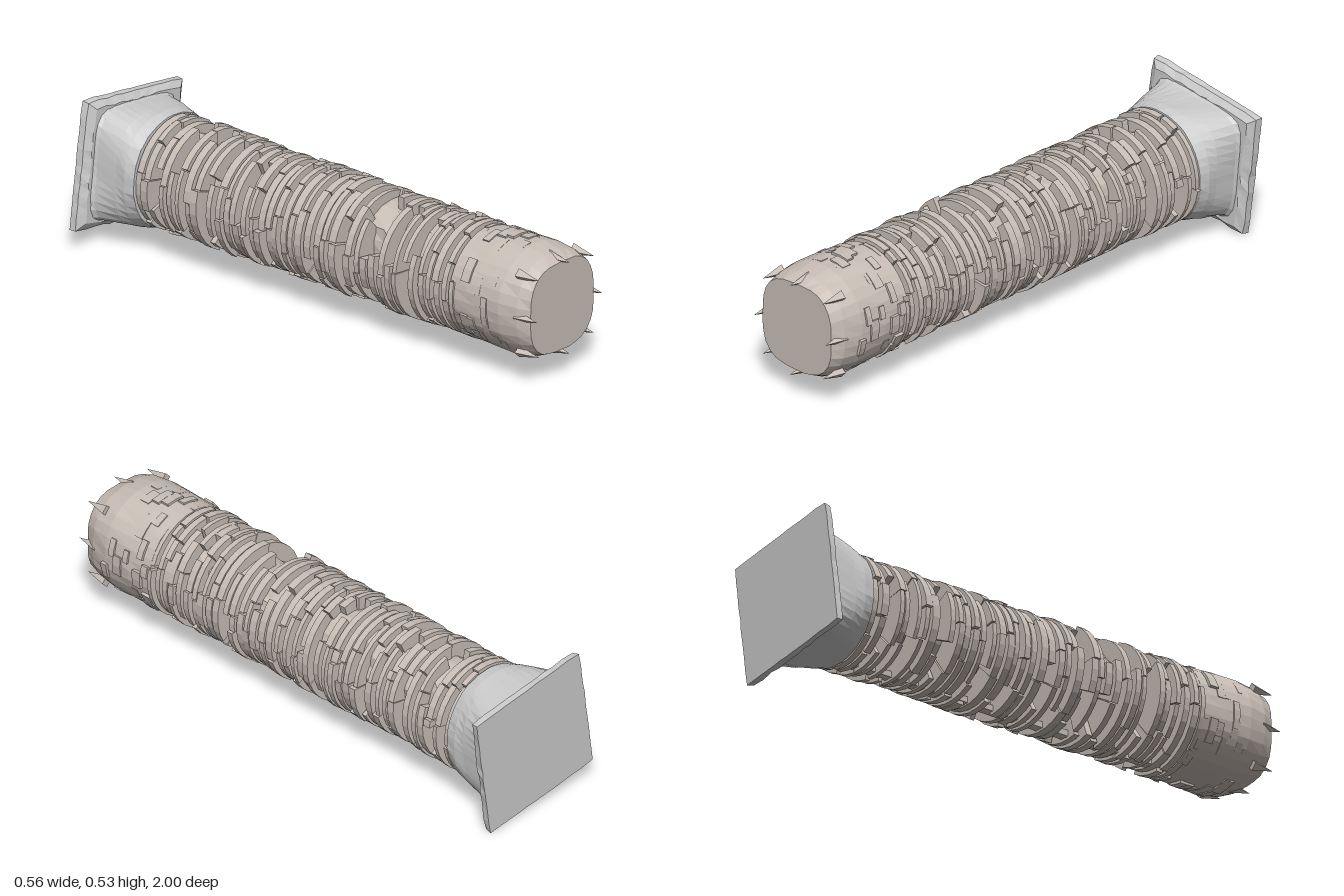
import * as THREE from 'three';
import { mergeGeometries } from 'three/addons/utils/BufferGeometryUtils.js';

const CY = 0.268; // height of the column axis
let seed = 7;
const rnd = (a = 0, b = 1) => {
  seed = (seed * 16807) % 2147483647;
  return a + (b - a) * (seed / 2147483647);
};

// Capped loft along z. Sections: [z, halfWidth, halfHeight, squareness, rotation, jitter]
function loft(sections, n = 48) {
  const pos = [], idx = [];
  for (const [z, hw, hh, p, rot, jit = 0] of sections) {
    for (let i = 0; i < n; i++) {
      const t = (i / n) * Math.PI * 2, c = Math.cos(t), s = Math.sin(t);
      const r = Math.pow(Math.abs(c) ** p + Math.abs(s) ** p, -1 / p) * (1 - rnd(0, jit));
      const x = c * r * hw, y = s * r * hh;
      pos.push(x * Math.cos(rot) - y * Math.sin(rot), x * Math.sin(rot) + y * Math.cos(rot), z);
    }
  }
  const rows = sections.length;
  for (let k = 0; k < rows - 1; k++) {
    for (let i = 0; i < n; i++) {
      const j = (i + 1) % n, a = k * n + i, b = k * n + j;
      idx.push(a, b, b + n, a, b + n, a + n);
    }
  }
  const c0 = rows * n, c1 = c0 + 1;
  pos.push(0, 0, sections[0][0], 0, 0, sections[rows - 1][0]);
  for (let i = 0; i < n; i++) {
    const j = (i + 1) % n, e = (rows - 1) * n;
    idx.push(c0, j, i, c1, e + i, e + j);
  }
  const g = new THREE.BufferGeometry();
  g.setAttribute('position', new THREE.Float32BufferAttribute(pos, 3));
  g.setIndex(idx);
  return g;
}

// Block of stone following the column's curve
function wedge(r0, r1, a0, a1, z, depth) {
  const s = new THREE.Shape();
  const steps = Math.max(2, Math.ceil((a1 - a0) / 0.22));
  for (let i = 0; i <= steps; i++) {
    const a = a0 + ((a1 - a0) * i) / steps;
    s[i ? 'lineTo' : 'moveTo'](r1 * Math.cos(a), r1 * Math.sin(a));
  }
  for (let i = steps; i >= 0; i--) {
    const a = a0 + ((a1 - a0) * i) / steps;
    s.lineTo(r0 * Math.cos(a), r0 * Math.sin(a));
  }
  s.closePath();
  return new THREE.ExtrudeGeometry(s, { depth, bevelEnabled: false }).translate(0, 0, z);
}

export function createModel() {
  const group = new THREE.Group();
  const stone = new THREE.MeshStandardMaterial({ color: 0xc8beb6, flatShading: true });
  const plain = new THREE.MeshStandardMaterial({ color: 0xcccccc, flatShading: true });
  const add = (name, geometry, material) => {
    const m = new THREE.Mesh(geometry, material);
    m.name = name;
    m.position.y = CY;
    group.add(m);
    return m;
  };
  const tilt = -0.144;

  // Square foot plate with chipped, sloping edges
  add('basePlate', loft([
    [-1, 0.252, 0.234, 60, tilt, 0.015],
    [-0.975, 0.252, 0.234, 60, tilt, 0.03],
    [-0.958, 0.225, 0.212, 30, tilt, 0.04],
  ]), plain);

  // Collar turning from rounded square to round
  add('baseCollar', loft([
    [-0.97, 0.215, 0.21, 7, tilt, 0.02],
    [-0.945, 0.203, 0.203, 5, tilt * 0.7, 0.01],
    [-0.86, 0.203, 0.203, 3.2, tilt * 0.4, 0.01],
    [-0.82, 0.207, 0.207, 2.4, 0, 0.01],
    [-0.78, 0.204, 0.204, 2.1, 0, 0.02],
  ]), plain);

  // Worn inner core, set slightly off the axis
  const coreRows = [];
  for (let i = 0; i <= 24; i++) coreRows.push([-0.8 + i * 0.062, 0.14, 0.14, 2.4, 0, 0.12]);
  add('innerCore', loft(coreRows, 20).translate(0.015, 0.025, 0), stone);

  // Courses of broken curved blocks with open joints
  const blocks = [];
  const pitch = 0.036;
  for (let z = -0.775; z < 0.645; z += pitch) {
    let a = rnd(0, 2);
    const end = a + Math.PI * 2;
    while (a < end - 0.1) {
      const next = Math.min(end, a + rnd(0.5, 1.5));
      if (rnd() > 0.13) {
        blocks.push(wedge(0.115, rnd(0.193, 0.208), a, next - 0.02, z + rnd(-0.007, 0.007), rnd(0.015, 0.031)));
      }
      a = next;
    }
  }
  add('brokenCourses', mergeGeometries(blocks), stone);

  // Narrow rib tying the courses along the underside
  const rib = add('undersideRib', new THREE.BoxGeometry(0.035, 0.022, 1.44), stone);
  rib.position.set(0, 0.088, -0.06);

  // Solid tapered end of the shaft
  add('shaftEnd', loft([
    [0.64, 0.196, 0.196, 2.1, 0, 0.02],
    [0.74, 0.2, 0.2, 2.1, 0, 0.02],
    [0.85, 0.2, 0.2, 2.2, 0, 0.02],
    [0.92, 0.186, 0.186, 2.4, 0, 0.02],
    [0.965, 0.164, 0.164, 3, 0, 0.02],
  ], 32), stone);

  // Shallow raised blocks on the solid end
  const facing = [];
  for (let z = 0.645; z < 0.84; z += 0.032) {
    for (let a = rnd(0, 0.4); a < 6.2; a += rnd(0.35, 0.8)) {
      if (rnd() < 0.6) facing.push(wedge(0.18, rnd(0.2, 0.208), a, a + rnd(0.2, 0.5), z, rnd(0.018, 0.04)));
    }
  }
  add('shaftEndBlocks', mergeGeometries(facing), stone);

  // Jagged points around the broken rim
  const points = [];
  for (let i = 0; i < 8; i++) {
    const a = (i * Math.PI) / 4;
    const r = i % 2 ? 0.2 : 0.168;
    points.push(new THREE.ConeGeometry(0.022, 0.09, 4).rotateX(Math.PI / 2)
      .translate(r * Math.cos(a), r * Math.sin(a), i % 2 ? 0.94 : 0.955));
  }
  add('rimPoints', mergeGeometries(points), stone);

  return group;
}
